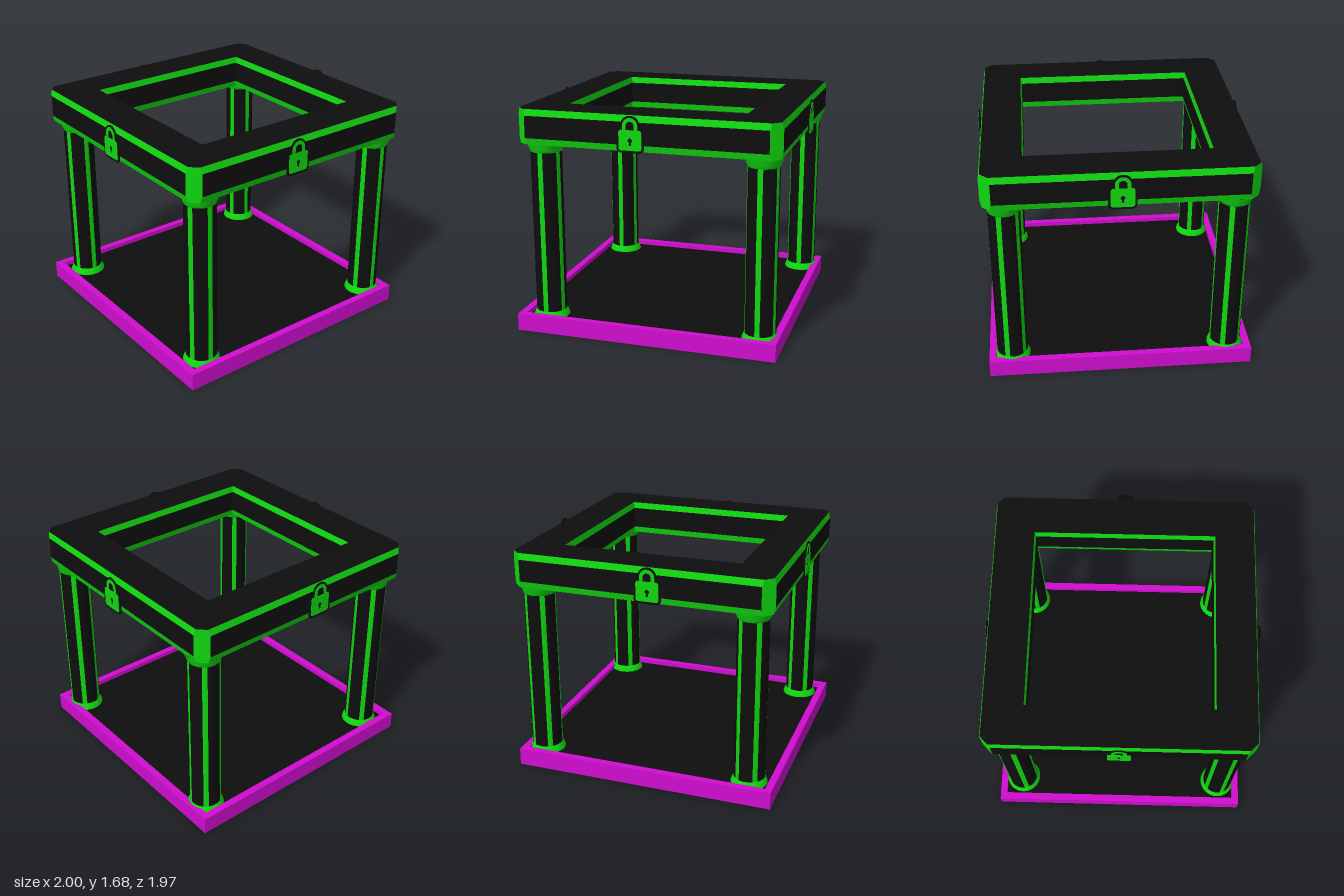
import * as THREE from 'three';

const black = new THREE.MeshStandardMaterial({ color: 0x0e0e0e });
const green = new THREE.MeshStandardMaterial({ color: 0x10d810 });
const magenta = new THREE.MeshStandardMaterial({ color: 0xd00dd0 });

function add(parent, name, geometry, material, x = 0, y = 0, z = 0) {
  const mesh = new THREE.Mesh(geometry, material);
  mesh.name = name;
  mesh.position.set(x, y, z);
  parent.add(mesh);
  return mesh;
}

const extrude = (shape, depth) =>
  new THREE.ExtrudeGeometry(shape, { depth, bevelEnabled: false, curveSegments: 10 });

// Square outline with cut corners as [x, z], counter-clockwise from above
function outline(half, cut) {
  const points = [];
  let pair = [[-half + cut, half], [half - cut, half]];
  for (let side = 0; side < 4; side++) {
    points.push(...pair);
    pair = pair.map(([x, z]) => [z, -x]);
  }
  return points;
}

// Quads between two outlines; start 0 = straight sides, start 1 = corners
function band(low, yLow, high, yHigh, start, inward) {
  const positions = [];
  for (let i = start; i < 8; i += 2) {
    const j = (i + 1) % 8;
    const a = [low[i][0], yLow, low[i][1]], b = [low[j][0], yLow, low[j][1]];
    const c = [high[j][0], yHigh, high[j][1]], d = [high[i][0], yHigh, high[i][1]];
    const quad = inward ? [a, c, b, a, d, c] : [a, b, c, a, c, d];
    positions.push(...quad.flat());
  }
  const geometry = new THREE.BufferGeometry();
  geometry.setAttribute('position', new THREE.Float32BufferAttribute(positions, 3));
  geometry.computeVertexNormals();
  return geometry;
}

function ringShape(outer, inner) {
  const toVectors = (points) => points.map(([x, z]) => new THREE.Vector2(x, -z));
  const shape = new THREE.Shape(toVectors(outer));
  shape.holes.push(new THREE.Path(toVectors(inner).reverse()));
  return shape;
}

const squarePoints = (h) => [[-h, h], [h, h], [h, -h], [-h, -h]];

// Shallow tray: solid bottom, raised rim and dark floor
function makeBase() {
  const base = new THREE.Group();
  base.name = 'base';
  base.position.set(-0.0165, 0, -0.0025);
  const half = 0.983, inner = 0.93;
  add(base, 'baseSlab', new THREE.BoxGeometry(half * 2, 0.09, half * 2), magenta, 0, 0.045, 0);
  const rim = extrude(ringShape(squarePoints(half), squarePoints(inner)), 0.04).rotateX(-Math.PI / 2);
  add(base, 'baseRim', rim, magenta, 0, 0.09, 0);
  add(base, 'floor', new THREE.BoxGeometry(inner * 2, 0.005, inner * 2), black, 0, 0.0925, 0);
  return base;
}

// Round column with five narrow stripes between wide dark panels
function makeColumn(x, z) {
  const column = new THREE.Group();
  column.name = 'column';
  column.position.set(x, 0, z);
  const stripe = THREE.MathUtils.degToRad(19), step = Math.PI * 2 / 5;
  const arc = (start, length, segments) =>
    new THREE.CylinderGeometry(0.114, 0.114, 1.27, segments, 1, true, start, length);
  for (let i = 0; i < 5; i++) {
    add(column, 'columnStripe', arc(i * step - stripe / 2, stripe, 3), green, 0, 0.735, 0);
    add(column, 'columnPanel', arc(i * step + stripe / 2, step - stripe, 8), black, 0, 0.735, 0);
  }
  const lathe = (profile) =>
    new THREE.LatheGeometry(profile.map(([r, y]) => new THREE.Vector2(r, y)), 32);
  add(column, 'columnFoot', lathe([[0.135, 0.09], [0.133, 0.105], [0.122, 0.13], [0.114, 0.146]]), green);
  add(column, 'columnCap', lathe([[0.108, 1.357], [0.115, 1.362], [0.121, 1.38], [0.13, 1.405], [0.138, 1.43]]), green);
  return column;
}

// Square beam frame with bevelled borders and cut corners
function makeFrame() {
  const frame = new THREE.Group();
  frame.name = 'topFrame';
  const heights = [1.43, 1.477, 1.638, 1.685];
  const outerEdge = outline(0.951, 0.055), outerMid = outline(0.963, 0.078);
  const innerEdge = outline(0.665, 0), innerMid = outline(0.655, 0);
  const outer = [outerEdge, outerMid, outerMid, outerEdge];
  const inner = [innerEdge, innerMid, innerMid, innerEdge];
  for (let i = 0; i < 3; i++) {
    const material = i === 1 ? black : green;
    const name = i === 1 ? 'Panel' : 'Border';
    const y0 = heights[i], y1 = heights[i + 1];
    add(frame, 'outer' + name, band(outer[i], y0, outer[i + 1], y1, 0, false), material);
    add(frame, 'corner' + name, band(outer[i], y0, outer[i + 1], y1, 1, false), green);
    add(frame, 'inner' + name, band(inner[i], y0, inner[i + 1], y1, 0, true), material);
  }
  const face = new THREE.ShapeGeometry(ringShape(outerEdge, squarePoints(0.665)));
  add(frame, 'frameTop', face.clone().rotateX(-Math.PI / 2), black, 0, heights[3], 0);
  add(frame, 'frameUnderside', face.clone().rotateX(Math.PI / 2), black, 0, heights[0], 0);
  return frame;
}

function roundedRect(half, bottom, top, r) {
  const s = new THREE.Shape();
  s.absarc(half - r, bottom + r, r, -Math.PI / 2, 0);
  s.absarc(half - r, top - r, r, 0, Math.PI / 2);
  s.absarc(-half + r, top - r, r, Math.PI / 2, Math.PI);
  s.absarc(-half + r, bottom + r, r, Math.PI, Math.PI * 1.5);
  return s;
}

function arch(radius, bottom, centre) {
  const s = new THREE.Shape();
  s.moveTo(-radius, bottom);
  s.lineTo(radius, bottom);
  s.absarc(0, centre, radius, 0, Math.PI);
  s.closePath();
  return s;
}

// Flat padlock with a dark backing, facing +z
function makePadlock() {
  const lock = new THREE.Group();
  lock.name = 'padlock';
  add(lock, 'lockBackingBody', extrude(roundedRect(0.099, 1.425, 1.6, 0.035), 0.008), black);
  add(lock, 'lockBackingArch', extrude(arch(0.069, 1.58, 1.616), 0.008), black);

  const body = roundedRect(0.083, 1.442, 1.586, 0.018);
  const keyhole = new THREE.Path();
  keyhole.moveTo(-0.01, 1.478);
  keyhole.lineTo(-0.006, 1.5);
  keyhole.absarc(0, 1.512, 0.016, Math.PI * 1.36, Math.PI * 1.64, true);
  keyhole.lineTo(0.01, 1.478);
  keyhole.closePath();
  body.holes.push(keyhole);
  add(lock, 'lockBody', extrude(body, 0.003), green, 0, 0, 0.008);

  const shackle = new THREE.Shape();
  shackle.moveTo(0.029, 1.58);
  shackle.lineTo(0.055, 1.58);
  shackle.absarc(0, 1.616, 0.055, 0, Math.PI);
  shackle.lineTo(-0.055, 1.58);
  shackle.lineTo(-0.029, 1.58);
  shackle.absarc(0, 1.616, 0.029, Math.PI, 0, true);
  shackle.closePath();
  add(lock, 'lockShackle', extrude(shackle, 0.003), green, 0, 0, 0.008);
  return lock;
}

export function createModel() {
  const model = new THREE.Group();
  model.name = 'lockedTable';
  model.add(makeBase(), makeFrame());
  for (const x of [-0.795, 0.817])
    for (const z of [-0.805, 0.808]) model.add(makeColumn(x, z));

  // One padlock per side: x, z and facing angle
  const spots = [[-0.085, 0.974, 0], [0.988, 0, 1], [-0.085, -0.96, 2], [-0.97, 0, 3]];
  for (const [x, z, turns] of spots) {
    const lock = makePadlock();
    lock.position.set(x, 0, z);
    lock.rotation.y = turns * Math.PI / 2;
    model.add(lock);
  }
  return model;
}
